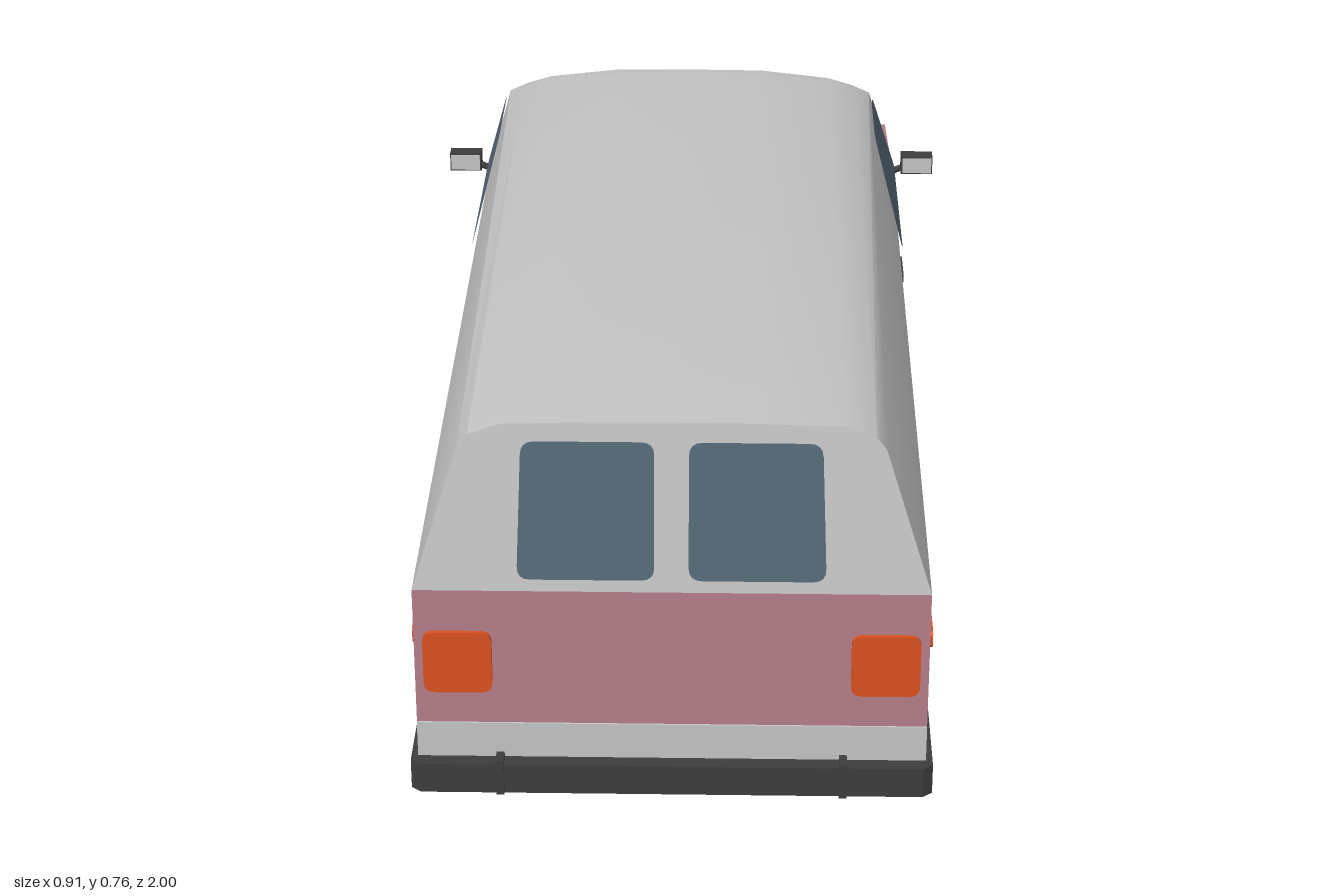
import * as THREE from 'three';
import { toCreasedNormals } from 'three/addons/utils/BufferGeometryUtils.js';

const mat = (name, color) => {
  const m = new THREE.MeshStandardMaterial({ color });
  m.name = name;
  return m;
};

export function createModel() {
  const pink = mat('pink paint', 0xb57f8a);
  const grey = mat('light grey paint', 0xc4c4c4);
  const glass = mat('glass', 0x546776);
  const trim = mat('dark trim', 0x3d3d3d);
  const rubber = mat('tyre rubber', 0x2b2b2b);
  const steel = mat('wheel steel', 0x808280);
  const chrome = mat('bright chrome', 0xdcdcdc);
  const orange = mat('orange lens', 0xd9501f);

  const van = new THREE.Group();
  van.name = 'van';
  const side = new THREE.Group();
  side.name = 'leftSide';

  const add = (parent, name, geo, material) => {
    const m = new THREE.Mesh(geo, material);
    m.name = name;
    parent.add(m);
    return m;
  };
  const box = (parent, name, material, x0, x1, y0, y1, z0, z1) =>
    add(parent, name, new THREE.BoxGeometry(x1 - x0, y1 - y0, z1 - z0)
      .translate((x0 + x1) / 2, (y0 + y1) / 2, (z0 + z1) / 2), material);

  // Skin through rows of points
  const surface = (rows, crease = 0.5) => {
    const n = rows[0].length, index = [];
    for (let i = 0; i < rows.length - 1; i++) for (let j = 0; j < n - 1; j++) {
      const a = i * n + j, b = a + 1, c = a + n, d = c + 1;
      index.push(a, c, b, b, c, d);
    }
    const g = new THREE.BufferGeometry();
    g.setAttribute('position', new THREE.Float32BufferAttribute(rows.flat(2), 3));
    g.setIndex(index);
    return toCreasedNormals(g, crease);
  };
  const poly = pts => new THREE.Shape(pts.map(p => new THREE.Vector2(...p)));
  // Outline with rounded corners
  const rounded = (pts, r) => {
    const s = new THREE.Shape();
    pts.forEach((p, i) => {
      const P = new THREE.Vector2(...p);
      const A = new THREE.Vector2(...pts[(i + pts.length - 1) % pts.length]).sub(P).setLength(r).add(P);
      const B = new THREE.Vector2(...pts[(i + 1) % pts.length]).sub(P).setLength(r).add(P);
      if (i) s.lineTo(A.x, A.y); else s.moveTo(A.x, A.y);
      s.quadraticCurveTo(P.x, P.y, B.x, B.y);
    });
    s.closePath();
    return s;
  };
  // Thin plate whose outline is laid onto a panel by a rule
  const plate = (shape, rule) => {
    const g = new THREE.ShapeGeometry(shape, 4), p = g.attributes.position;
    for (let i = 0; i < p.count; i++) p.setXYZ(i, ...rule(p.getX(i), p.getY(i)));
    g.computeVertexNormals();
    return g;
  };
  // Side profile (drawn as -z, y) swept from x0 to x1
  const sweepX = (shape, x0, x1) =>
    new THREE.ExtrudeGeometry(shape, { depth: x1 - x0, bevelEnabled: false, curveSegments: 10 })
      .rotateY(Math.PI / 2).translate(x0, 0, 0);
  // Plan outline (drawn as x, -z) raised from y0 to y1
  const sweepY = (pts, y0, y1) =>
    new THREE.ExtrudeGeometry(poly(pts), { depth: y1 - y0, bevelEnabled: false })
      .rotateX(-Math.PI / 2).translate(0, y0, 0);

  const axles = [0.61, -0.735], hubY = 0.155;

  // Lower body: full-height centre and arched flanks
  const profile = arches => {
    const s = new THREE.Shape();
    s.moveTo(-0.97, 0.15);
    axles.forEach((z, i) => {
      const r = 0.165, y0 = i ? 0.12 : 0.15, y1 = i ? 0.16 : 0.12;
      s.lineTo(-z - r, y0);
      if (arches) s.absarc(-z, hubY, r, Math.PI, 0, true);
      s.lineTo(-z + r, y1);
    });
    [[0.95, 0.16], [0.95, 0.4515], [0.62, 0.5], [-0.97, 0.48]].forEach(p => s.lineTo(...p));
    return s;
  };
  add(van, 'lowerBody', sweepX(profile(false), -0.27, 0.27), pink);
  add(side, 'flank', sweepX(profile(true), 0.27, 0.38), pink);

  // Nose with softened corners
  const plan = [[-0.38, -0.95], [-0.37, -0.972], [-0.345, -0.984], [0, -0.987],
    [0.345, -0.984], [0.37, -0.972], [0.38, -0.95]];
  const noseRow = (y, k) => plan.map(([x, z]) => [x, y, -0.95 + (z + 0.95) * k]);
  add(van, 'nose', surface([noseRow(0.16, 0), noseRow(0.16, 1), noseRow(0.425, 1),
    noseRow(0.443, 0.7), noseRow(0.4515, 0)]), pink);

  // Windscreen surface, u across and v up
  const screen = (u, v, out = 0) => {
    const q = u ** 4, low = [0.38 * u, 0.497 + 0.003 * u * u, -0.66 + 0.04 * u * u];
    const top = [0.327 * u, 0.755 - 0.048 * q, -0.45 - 0.015 * q];
    return low.map((a, i) => a + (top[i] - a) * v + out * [0, 0.55, -0.8][i]);
  };
  const us = [1, 0.9, 0.77, 0.4, 0, -0.4, -0.77, -0.9, -1];
  const across = [...us].reverse();
  add(van, 'windscreenFrame', surface([0, 1].map(v => across.map(u => screen(u, v)))), grey);
  add(van, 'windscreen', surface([0.02, 0.95].map(v => across.map(u => screen(u * 0.945, v, 0.005)))), glass);

  // Upper body: belt, gutter and roof sections from tail to windscreen
  const section = half => [...half, ...half.slice(0, -1).reverse().map(([x, y, z]) => [-x, y, z])];
  const tail = section([[0.38, 0.48, 0.97], [0.31, 0.7, 0.936], [0.295, 0.718, 0.933],
    [0.25, 0.734, 0.931], [0.13, 0.737, 0.93], [0, 0.738, 0.93]]);
  const crown = section([[0.38, 0.498, -0.4], [0.325, 0.715, -0.4], [0.3, 0.738, -0.4],
    [0.25, 0.757, -0.4], [0.13, 0.762, -0.4], [0, 0.764, -0.4]]);
  const brow = section([[0.38, 0.5, -0.62], ...us.slice(0, 5).map(u => screen(u, 1))]);
  add(van, 'upperBody', surface([tail, crown, brow]), grey);
  add(van, 'tailPanel', surface([tail.map(([x]) => [x, 0.48, 0.97]), tail]), grey);

  // Painted bands along the sill and across the tail
  const flat = (a, b) => [0.383, b, -a];
  add(side, 'sillBand', plate(poly([[-0.43, 0.15], [0.57, 0.15], [0.58, 0.235], [-0.43, 0.235]]), flat), grey);
  add(side, 'rearSillBand', plate(poly([[-0.97, 0.15], [-0.78, 0.15], [-0.78, 0.248], [-0.97, 0.255]]), flat), grey);
  box(van, 'tailBand', grey, -0.38, 0.38, 0.15, 0.255, 0.966, 0.973);
  box(side, 'sill', trim, 0.33, 0.386, 0.118, 0.153, -0.57, 0.43);

  // Windows
  add(side, 'doorWindow', plate(rounded([[0.21, 0.505], [0.59, 0.512], [0.425, 0.712], [0.36, 0.725], [0.21, 0.722]], 0.022),
    (a, b) => [0.386 - (b - 0.5) * 0.256, b, -a]), glass);
  add(side, 'rearWindow', plate(rounded([[0.025, 0.5], [0.226, 0.5], [0.218, 0.71], [0.025, 0.71]], 0.02),
    (a, b) => [a, b, 0.974 - (b - 0.48) * 0.155]), glass);

  // Lamps and grille
  const tailLamp = rounded([[0.265, 0.31], [0.367, 0.31], [0.367, 0.412], [0.265, 0.412]], 0.018);
  add(side, 'tailLamp', new THREE.ExtrudeGeometry(tailLamp, { depth: 0.008, bevelEnabled: false })
    .translate(0, 0, 0.969), orange);
  [[-0.925, -0.855], [0.845, 0.915]].forEach(([a, b]) => add(side, 'sideMarker',
    sweepX(rounded([[a, 0.362], [b, 0.362], [b, 0.39], [a, 0.39]], 0.01), 0.378, 0.387), orange));
  box(side, 'lampSurround', trim, 0.262, 0.35, 0.25, 0.392, -0.988, -0.98);
  box(side, 'headlamp', grey, 0.27, 0.343, 0.308, 0.385, -0.992, -0.984);
  box(side, 'turnSignal', orange, 0.27, 0.343, 0.256, 0.3, -0.992, -0.984);
  box(van, 'grilleFrame', chrome, -0.262, 0.262, 0.25, 0.392, -0.989, -0.981);
  box(van, 'grille', trim, -0.256, 0.256, 0.255, 0.387, -0.993, -0.985);

  // Bumpers
  add(van, 'frontBumper', sweepY([[-0.39, 0.915], [0.39, 0.915], [0.39, 0.975], [0.365, 0.997],
    [-0.365, 0.997], [-0.39, 0.975]], 0.158, 0.235), trim);
  add(van, 'rearBumper', sweepY([[-0.39, -0.78], [-0.39, -0.985], [-0.375, -0.997],
    [0.375, -0.997], [0.39, -0.985], [0.39, -0.78]], 0.148, 0.197), trim);
  box(side, 'bumperGuard', trim, 0.25, 0.262, 0.146, 0.205, 0.97, 1.0);

  // Door handle and mirror
  box(side, 'doorHandle', trim, 0.378, 0.388, 0.439, 0.451, -0.305, -0.22);
  add(side, 'mirrorArm', new THREE.TubeGeometry(new THREE.LineCurve3(
    new THREE.Vector3(0.37, 0.49, -0.605), new THREE.Vector3(0.405, 0.506, -0.605)), 1, 0.006, 6), trim);
  box(side, 'mirrorHousing', trim, 0.396, 0.455, 0.494, 0.529, -0.62, -0.592);
  box(side, 'mirrorGlass', grey, 0.399, 0.453, 0.497, 0.526, -0.593, -0.589);

  // Wheels and arch flares
  const lathe = pts => toCreasedNormals(new THREE.LatheGeometry(
    pts.map(p => new THREE.Vector2(...p)), 12), 0.3).rotateZ(-Math.PI / 2);
  const flare = new THREE.Shape();
  flare.absarc(0, 0, 0.186, -0.12, Math.PI + 0.12, false);
  flare.absarc(0, 0, 0.15, Math.PI + 0.12, -0.12, true);
  for (const z of axles) {
    const wheel = new THREE.Group();
    wheel.name = 'wheel';
    wheel.position.set(0, hubY, z);
    add(wheel, 'tyre', lathe([[0, 0.275], [0.138, 0.275], [0.152, 0.288], [0.152, 0.382],
      [0.14, 0.395], [0.12, 0.395], [0.118, 0.38]]), rubber);
    add(wheel, 'rim', lathe([[0.12, 0.39], [0.114, 0.393], [0.092, 0.372]]), chrome);
    add(wheel, 'wheelDisc', lathe([[0.093, 0.373], [0.05, 0.382], [0, 0.382]]), steel);
    add(wheel, 'hubCap', lathe([[0.026, 0.378], [0.022, 0.393], [0.01, 0.398], [0, 0.398]]), chrome);
    add(wheel, 'archFlare', sweepX(flare, 0.275, 0.391), trim);
    side.add(wheel);
  }

  const other = side.clone();
  other.name = 'rightSide';
  other.scale.x = -1;
  van.add(side, other);
  return van;
}
